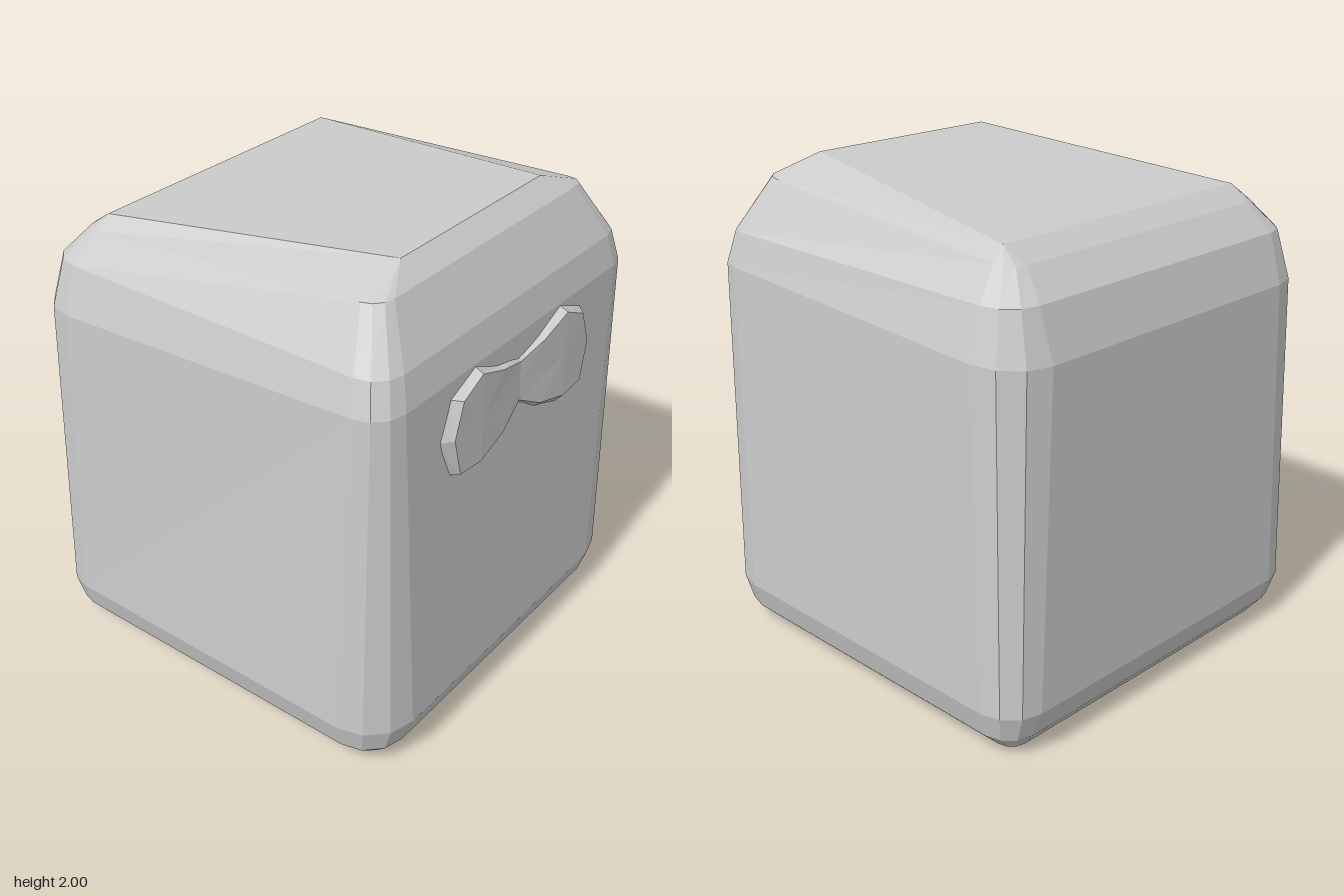
import * as THREE from 'three';

const material = new THREE.MeshStandardMaterial({ color: 0xcccccc, flatShading: true, side: THREE.DoubleSide });

// Skins a stack of closed rings with equal point counts, dropping collapsed triangles
function loft(name, rings) {
  const pos = [];
  const tri = (a, b, c) => {
    const n = b.clone().sub(a).cross(c.clone().sub(a));
    if (n.length() > 1e-7) for (const p of [a, b, c]) pos.push(p.x, p.y, p.z);
  };
  for (let r = 0; r < rings.length - 1; r++) {
    const a = rings[r], b = rings[r + 1], n = a.length;
    for (let i = 0; i < n; i++) {
      const j = (i + 1) % n;
      tri(a[i], b[i], a[j]);
      tri(a[j], b[i], b[j]);
    }
  }
  const geo = new THREE.BufferGeometry();
  geo.setAttribute('position', new THREE.Float32BufferAttribute(pos, 3));
  geo.computeVertexNormals();
  const mesh = new THREE.Mesh(geo, material);
  mesh.name = name;
  return mesh;
}

// Rounded-rectangle ring; height, half width and corner radius differ front to back
function bodyRing({ y, x, z, r }) {
  const pts = [];
  for (let c = 0; c < 4; c++) {
    const k = c < 2 ? 0 : 1;
    const sx = c === 0 || c === 3 ? 1 : -1, sz = k ? -1 : 1;
    for (let s = 0; s <= 3; s++) {
      const a = (c + s / 3) * Math.PI / 2;
      const px = sx * (x[k] - r[k]) + r[k] * Math.cos(a);
      const pz = sz * (z[k] - r[k]) + r[k] * Math.sin(a);
      const t = (z[0] - pz) / (z[0] + z[1]);
      pts.push(new THREE.Vector3(px, y[0] + (y[1] - y[0]) * t, pz));
    }
  }
  return pts;
}

// Tapered hollow body, open underneath, with a roof sloping to the back
function makeBody() {
  const rings = [
    { y: [0, 0], x: [0.76, 0.76], z: [0.76, 0.77], r: [0.1, 0.07] },
    { y: [0.08, 0.08], x: [0.84, 0.84], z: [0.83, 0.835], r: [0.17, 0.12] },
    { y: [0.19, 0.19], x: [0.87, 0.87], z: [0.87, 0.875], r: [0.21, 0.16] },
    { y: [1.59, 1.52], x: [0.835, 0.855], z: [0.83, 0.86], r: [0.13, 0.2] },
    { y: [1.72, 1.72], x: [0.8, 0.8], z: [0.8, 0.8], r: [0.12, 0.14] },
    { y: [1.93, 1.83], x: [0.67, 0.7], z: [0.69, 0.7], r: [0.08, 0.08] },
    { y: [2, 1.89], x: [0.45, 0.64], z: [0.61, 0.61], r: [0, 0] },
  ].map(bodyRing);
  rings.push(rings[0].map(() => new THREE.Vector3(0, 1.945, 0)));
  return loft('body', rings);
}

// Raised two-lobed eye plate with bevelled rim and pinched middle
function makeEyePlate() {
  const mirrored = half => {
    const right = half.slice(1, -1).reverse().map(([x, y, z]) => [-x, y, z]);
    return [...half, ...right].map(p => new THREE.Vector3(...p));
  };
  const rim = mirrored([
    [0, 1.49], [0.14, 1.52], [0.29, 1.585], [0.45, 1.52], [0.52, 1.37],
    [0.45, 1.2], [0.29, 1.14], [0.13, 1.2], [0, 1.29],
  ].map(([x, y]) => [x, y, 0.822]));
  const face = mirrored([
    [0, 1.475, 0.845], [0.14, 1.51, 0.86], [0.29, 1.565, 0.866], [0.41, 1.51, 0.868], [0.46, 1.37, 0.87],
    [0.42, 1.21, 0.874], [0.29, 1.2, 0.876], [0.13, 1.24, 0.866], [0, 1.31, 0.85],
  ]);
  const centres = face.map(p => new THREE.Vector3(
    Math.sign(p.x) * 0.28, 1.38, p.x ? 0.871 : 0.848));
  return loft('eyePlate', [rim, face, centres]);
}

export function createModel() {
  const group = new THREE.Group();
  group.name = 'model';
  group.add(makeBody(), makeEyePlate());
  return group;
}
